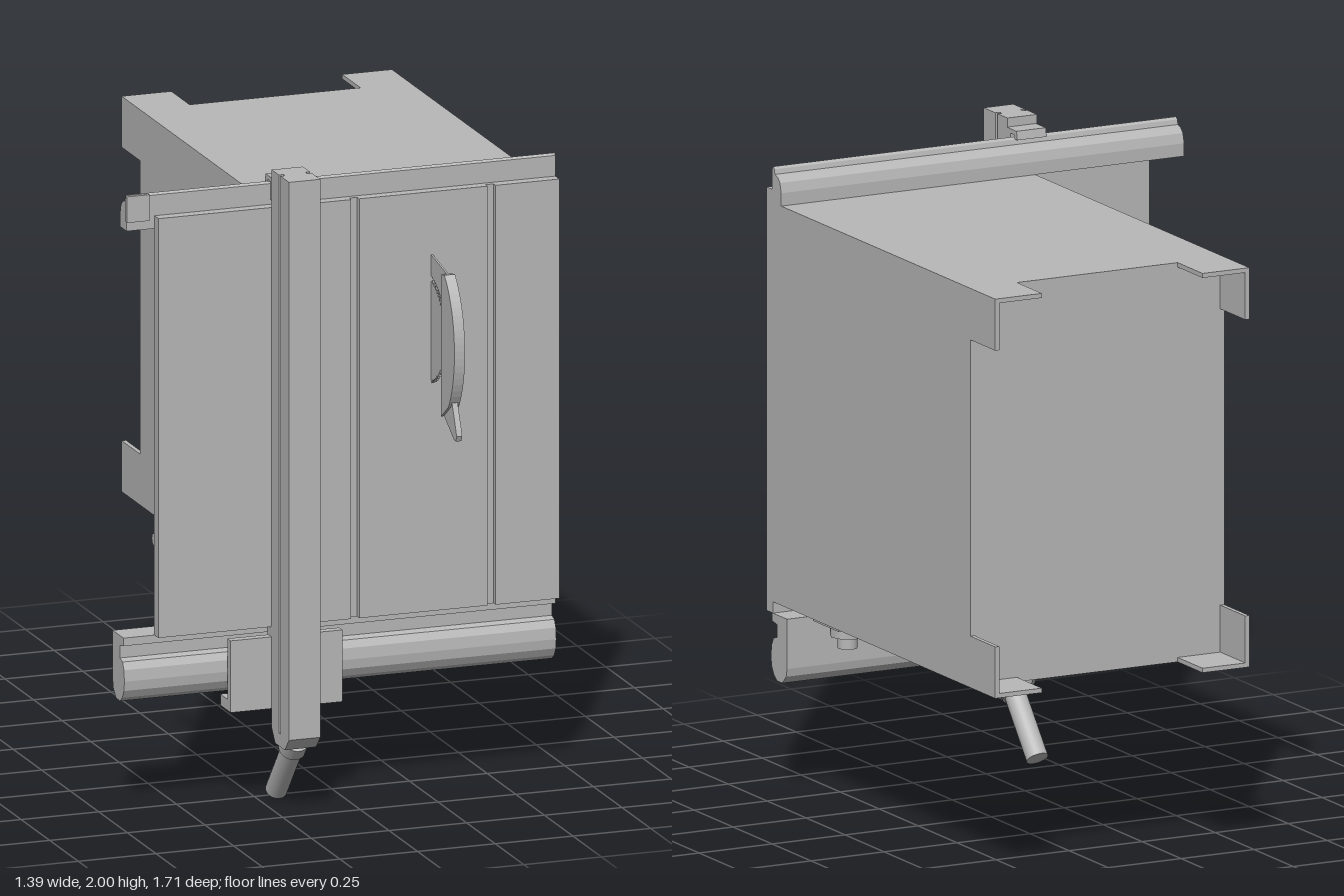
import * as THREE from 'three';

const steel = new THREE.MeshStandardMaterial({ color: 0xb8b8b8, side: THREE.DoubleSide });
steel.name = 'grey steel';

function add(parent, name, geometry) {
  const mesh = new THREE.Mesh(geometry, steel);
  mesh.name = name;
  parent.add(mesh);
  return mesh;
}

// Box given by its limits on each axis
function box(parent, name, x0, x1, y0, y1, z0, z1) {
  const g = new THREE.BoxGeometry(x1 - x0, y1 - y0, z1 - z0);
  g.translate((x0 + x1) / 2, (y0 + y1) / 2, (z0 + z1) / 2);
  return add(parent, name, g);
}

const shapeOf = pts => new THREE.Shape(pts.map(p => new THREE.Vector2(p[0], p[1])));

// Profile in (z, y), swept along x
function sweepX(parent, name, shape, x0, x1) {
  const g = new THREE.ExtrudeGeometry(shape, { depth: x1 - x0, bevelEnabled: false, curveSegments: 20 });
  g.rotateY(-Math.PI / 2).translate(x1, 0, 0);
  return add(parent, name, g);
}

// Profile in (x, z), swept along y
function sweepY(parent, name, pts, y0, y1) {
  const g = new THREE.ExtrudeGeometry(shapeOf(pts.map(([x, z]) => [x, -z])), { depth: y1 - y0, bevelEnabled: false });
  g.rotateX(-Math.PI / 2).translate(0, y0, 0);
  return add(parent, name, g);
}

// Cylinder between two points
function rod(parent, name, a, b, r, sides = 24) {
  const p = new THREE.Vector3(...a), q = new THREE.Vector3(...b);
  const mesh = add(parent, name, new THREE.CylinderGeometry(r, r, p.distanceTo(q), sides));
  mesh.position.copy(p).lerp(q, 0.5);
  mesh.quaternion.setFromUnitVectors(new THREE.Vector3(0, 1, 0), q.sub(p).normalize());
  return mesh;
}

// Dished handwheel whose axis points outward along +y
function handwheel(name, gripX, gripZ) {
  const wheel = new THREE.Group();
  wheel.name = name;
  const profile = [[0, 0.025], [0.035, 0.025], [0.045, 0.045], [0.115, 0.07], [0.118, 0.11], [0.13, 0.11],
    [0.13, 0.056], [0.118, 0.056], [0.05, 0.03], [0.04, 0.012], [0, 0.012]];
  for (let i = 0; i < profile.length - 1; i++) {
    // separate bands keep the turned edges sharp
    const band = [profile[i + 1], profile[i]].map(p => new THREE.Vector2(...p));
    add(wheel, 'wheelBand', new THREE.LatheGeometry(band, 40));
  }
  rod(wheel, 'wheelShaft', [0, 0, 0], [0, 0.055, 0], 0.024);
  rod(wheel, 'gripPin', [gripX, 0.05, gripZ], [gripX, 0.13, gripZ], 0.012);
  rod(wheel, 'wheelGrip', [gripX, 0.115, gripZ], [gripX, 0.275, gripZ], 0.019);
  return wheel;
}

export function createModel() {
  const saw = new THREE.Group();
  saw.name = 'tableSaw';

  // Cabinet with angle feet at the four rear corners
  box(saw, 'cabinet', -0.18, 0.69, 0.6, 1.84, -0.69, 0.58);
  const t = 0.014;
  for (const [x0, x1, sx] of [[-0.18, -0.02, 0], [0.53, 0.69, 1]]) {
    for (const [y0, y1, sy] of [[0.6, 0.76, 0], [1.68, 1.84, 1]]) {
      const foot = new THREE.Group();
      foot.name = 'foot';
      box(foot, 'footFlange', x0, x1, sy ? y1 - t : y0, sy ? y1 : y0 + t, -0.85, -0.69);
      box(foot, 'footWeb', sx ? x1 - t : x0, sx ? x1 : x0 + t, y0, y1, -0.85, -0.69);
      saw.add(foot);
    }
  }

  // Table top with two mitre grooves
  const table = [[-0.6, 0.575], [0.69, 0.575], [0.69, 0.615]];
  for (const gx of [0.472, 0.033]) {
    table.push([gx + 0.013, 0.615], [gx + 0.013, 0.597], [gx - 0.013, 0.597], [gx - 0.013, 0.615]);
  }
  table.push([-0.6, 0.615]);
  sweepY(saw, 'tableTop', table, 0.565, 1.88);

  // Fence rails
  sweepX(saw, 'rearRail', shapeOf([[0.58, 1.84], [0.58, 1.945], [0.574, 1.952], [0.566, 1.945], [0.562, 1.93],
    [0.545, 1.925], [0.53, 1.91], [0.522, 1.88], [0.522, 1.84]]), -0.69, 0.69);
  rod(saw, 'railFoot', [-0.655, 1.84, 0.55], [-0.655, 1.87, 0.55], 0.018);
  box(saw, 'railEndCap', -0.692, -0.62, 1.868, 1.95, 0.575, 0.588);
  sweepX(saw, 'frontRail', shapeOf([[0.58, 0.565], [0.58, 0.54], [0.55, 0.535], [0.55, 0.495], [0.572, 0.488],
    [0.584, 0.465], [0.588, 0.43], [0.584, 0.4], [0.57, 0.375], [0.55, 0.36], [0.515, 0.36], [0.49, 0.385],
    [0.485, 0.41], [0.485, 0.565]]), -0.7, 0.69);

  // Rip fence: slotted bar, end cap, head and rear clip
  const fence = new THREE.Group();
  fence.name = 'ripFence';
  saw.add(fence);
  sweepY(fence, 'fenceBar', [[-0.238, 0.62], [-0.137, 0.62], [-0.137, 0.683], [-0.152, 0.683], [-0.152, 0.697],
    [-0.137, 0.697], [-0.137, 0.772], [-0.238, 0.772], [-0.238, 0.697], [-0.223, 0.697], [-0.223, 0.683],
    [-0.238, 0.683]], 0.25, 2);
  sweepX(fence, 'fenceEndCap', shapeOf([[0.62, 0.25], [0.65, 0.21], [0.735, 0.21], [0.772, 0.25]]), -0.238, -0.137);
  sweepX(fence, 'fenceHead', shapeOf([[0.62, 0.31], [0.62, 0.535], [0.592, 0.535], [0.592, 0.345],
    [0.53, 0.345], [0.53, 0.31]]), -0.37, -0.01);
  box(fence, 'fenceHeadBlock', -0.238, -0.137, 0.52, 0.57, 0.582, 0.62);
  box(fence, 'clampJaw', -0.238, -0.137, 0.34, 0.358, 0.485, 0.56);
  box(fence, 'clampLip', -0.238, -0.137, 0.34, 0.39, 0.478, 0.486);
  sweepX(fence, 'rearClip', shapeOf([[0.622, 1.9], [0.622, 1.972], [0.558, 1.972], [0.553, 1.945], [0.575, 1.945],
    [0.575, 1.958], [0.598, 1.958], [0.598, 1.9]]), -0.235, -0.135);
  rod(fence, 'handleCollar', [-0.187, 0.225, 0.69], [-0.187, 0.19, 0.66], 0.042);
  rod(fence, 'clampHandle', [-0.187, 0.205, 0.672], [-0.187, 0.026, 0.522], 0.034);

  // Toothed blade
  const teeth = 72, blade = [];
  for (let i = 0; i < teeth; i++) {
    const a = i / teeth * Math.PI * 2, b = a + 0.02;
    blade.push([0.575 + 0.158 * Math.cos(a), 1.445 + 0.158 * Math.sin(a)]);
    blade.push([0.575 + 0.17 * Math.cos(b), 1.445 + 0.17 * Math.sin(b)]);
  }
  sweepX(saw, 'blade', shapeOf(blade), 0.2765, 0.2825);

  // Riving knife behind the blade carries the guard
  const knife = new THREE.Shape();
  knife.moveTo(0.58, 1.685);
  knife.lineTo(0.62, 1.682);
  knife.lineTo(0.77, 1.655);
  knife.lineTo(0.77, 1.45);
  knife.lineTo(0.752, 1.45);
  knife.quadraticCurveTo(0.735, 1.6, 0.58, 1.625);
  sweepX(saw, 'rivingKnife', knife, 0.277, 0.283);

  // Crescent blade guard with a nose at the front end
  const guard = new THREE.Shape();
  guard.moveTo(0.742, 1.655);
  guard.lineTo(0.77, 1.66);
  guard.bezierCurveTo(0.875, 1.56, 0.885, 1.37, 0.805, 1.255);
  guard.lineTo(0.742, 1.21);
  sweepX(saw, 'bladeGuard', guard, 0.263, 0.297);
  sweepX(saw, 'guardNose', shapeOf([[0.815, 1.27], [0.848, 1.195], [0.855, 1.175], [0.848, 1.158], [0.83, 1.16],
    [0.745, 1.212], [0.745, 1.23]]), 0.271, 0.289);

  // Height handwheel under the cabinet and tilt handwheel on its side
  const heightWheel = handwheel('heightHandwheel', -0.09, 0.045);
  heightWheel.rotation.x = Math.PI;
  heightWheel.position.set(0.1, 0.622, 0.27);
  saw.add(heightWheel);
  const tiltWheel = handwheel('tiltHandwheel', 0.045, 0.1);
  tiltWheel.rotation.z = Math.PI / 2;
  tiltWheel.position.set(-0.18, 0.7, 0.08);
  saw.add(tiltWheel);

  // Switch plate and knob
  box(saw, 'switchPlate', 0.52, 0.66, 0.58, 0.6, 0.21, 0.375);
  rod(saw, 'switchCollar', [0.59, 0.6, 0.285], [0.59, 0.545, 0.285], 0.055, 8);
  rod(saw, 'switchKnob', [0.59, 0.55, 0.285], [0.59, 0.508, 0.285], 0.03);

  return saw;
}
